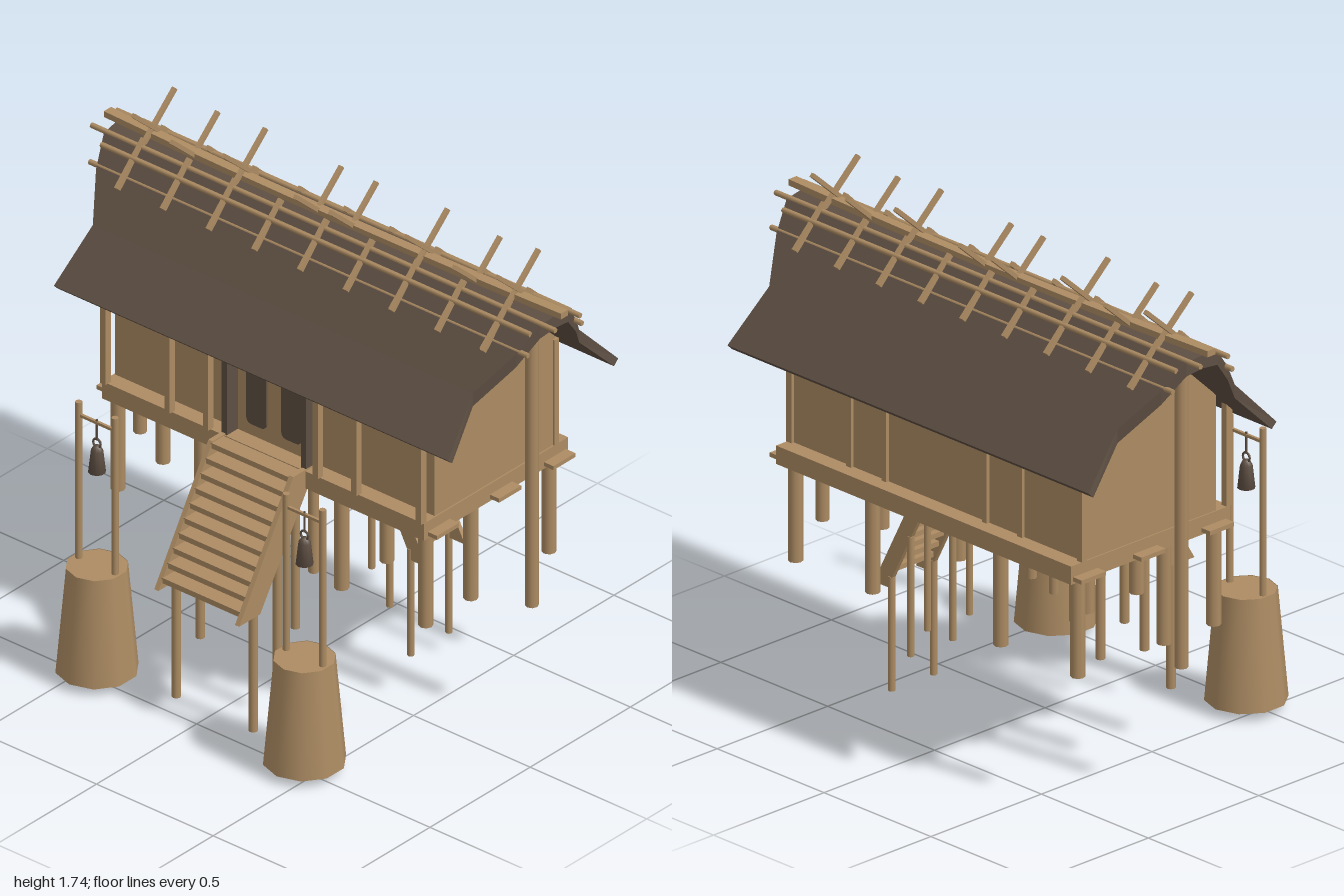
import * as THREE from 'three';

export function createModel() {
  const root = new THREE.Group();
  const wood = new THREE.MeshStandardMaterial({ color: 0xad8c63 });
  const dark = new THREE.MeshStandardMaterial({ color: 0x5e4f43 });
  const shell = new THREE.MeshStandardMaterial({ color: 0xad8c63, side: THREE.DoubleSide });
  const ridgeZ = -0.195;

  const add = (name, geo, mat = wood, x = 0, y = 0, z = 0, parent = root) => {
    const m = new THREE.Mesh(geo, mat);
    m.name = name;
    m.position.set(x, y, z);
    parent.add(m);
    return m;
  };
  // box given by its lower and upper corners
  const box = (name, a, b, mat = wood, parent = root) => add(name,
    new THREE.BoxGeometry(b[0] - a[0], b[1] - a[1], b[2] - a[2]), mat,
    (a[0] + b[0]) / 2, (a[1] + b[1]) / 2, (a[2] + b[2]) / 2, parent);
  // upright round post
  const post = (name, x, z, y0, y1, r, mat = wood, parent = root) =>
    add(name, new THREE.CylinderGeometry(r, r, y1 - y0, 8), mat, x, (y0 + y1) / 2, z, parent);
  // square stick leaning in the z-y plane
  const stick = (name, x, a, b, w) => {
    const dz = b[0] - a[0], dy = b[1] - a[1];
    const m = add(name, new THREE.BoxGeometry(w, w, Math.hypot(dz, dy)), wood,
      x, (a[1] + b[1]) / 2, (a[0] + b[0]) / 2);
    m.rotation.x = -Math.atan2(dy, dz);
    return m;
  };
  const polygon = pts => new THREE.Shape(pts.map(p => new THREE.Vector2(...p)));
  // outline drawn in (z, y), extruded along x from x0
  const slabX = (name, pts, x0, w, mat = wood) => {
    const g = new THREE.ExtrudeGeometry(polygon(pts.map(([z, y]) => [-z, y])), { depth: w, bevelEnabled: false });
    g.rotateY(Math.PI / 2);
    return add(name, g, mat, x0);
  };

  // floor platform and cross beams
  box('platform', [-0.69, 0.815, -0.55], [0.69, 0.88, 0.17]);
  for (const z of [0.095, -0.215, -0.485])
    box('floorBeam', [-0.73, 0.825, z - 0.055], [0.73, 0.84, z + 0.055]);

  // hall with gabled ends
  slabX('hall', [[0.11, 0.87], [0.11, 1.29], [-0.165, 1.55], [-0.225, 1.55], [-0.49, 1.29], [-0.49, 0.87]].reverse(), -0.685, 1.37);
  for (const s of [-1, 1]) {
    for (const x of [0.235, 0.4]) {
      box('porchPost', [s * x - 0.011, 0.88, 0.155], [s * x + 0.011, 1.25, 0.182]);
      box('backBatten', [s * x - 0.011, 0.88, -0.502], [s * x + 0.011, 1.28, -0.485]);
    }
    box('porchCornerPost', [s * 0.677 - 0.012, 0.88, 0.155], [s * 0.677 + 0.012, 1.25, 0.182]);
    box('backCornerPost', [s * 0.68 - 0.012, 0.88, -0.502], [s * 0.68 + 0.012, 1.28, -0.48]);
    post('ridgePost', s * 0.84, ridgeZ, 0.465, 1.57, 0.023);
    // doorway
    box('doorJamb', [s * 0.17 - 0.011, 0.88, 0.11], [s * 0.17 + 0.011, 1.27, 0.165], dark);
    const x = s * 0.075, w = 0.043, y = 0.925, r = 0.025;
    const panel = new THREE.Shape();
    panel.moveTo(x - w, 1.28);
    panel.lineTo(x - w, y + r);
    panel.quadraticCurveTo(x - w, y, x - w + r, y);
    panel.lineTo(x + w - r, y);
    panel.quadraticCurveTo(x + w, y, x + w, y + r);
    panel.lineTo(x + w, 1.28);
    add('doorPanel', new THREE.ExtrudeGeometry(panel, { depth: 0.006, bevelEnabled: false }), dark, 0, 0, 0.11);
  }

  // piles below the floor
  for (const s of [-1, 1]) {
    for (const x of [0.3, 0.66])
      for (const z of [0.125, -0.1, -0.49]) post('pile', s * x, z, 0.465, 0.82, 0.025);
    post('innerPile', s * 0.11, 0.045, 0.415, 0.75, 0.018);
  }

  // thatched roof: [distance from ridge, height, half length]
  const half = [[0.425, 1.208, 0.845], [0.265, 1.378, 0.815], [0.15, 1.505, 0.9], [0.07, 1.592, 0.935]];
  const profile = [...half.map(([d, y, l]) => [-d, y, l]), [0, 1.602, 0.94], ...half.slice().reverse()];
  let roof = new THREE.BoxGeometry(2, 1, 8, 1, 1, 8);
  const p = roof.attributes.position;
  for (let i = 0; i < p.count; i++) {
    const k = Math.round(p.getZ(i) + 4);
    const [d, y, l] = profile[k];
    const under = p.getY(i) < 0;
    const eave = k === 0 || k === 8;
    p.setXYZ(i, Math.sign(p.getX(i)) * l,
      under ? y - (eave ? 0.02 : 0.048) : y,
      ridgeZ + (under && eave ? d * 0.95 : d));
  }
  roof = roof.toNonIndexed();
  roof.computeVertexNormals();
  add('roof', roof, dark);

  // bowed ridge beam
  const ridge = new THREE.BoxGeometry(1.96, 0.022, 0.036, 12, 1, 1);
  const rp = ridge.attributes.position;
  for (let i = 0; i < rp.count; i++) rp.setY(i, rp.getY(i) + 0.015 * rp.getX(i) ** 2);
  ridge.computeVertexNormals();
  add('ridgeBeam', ridge, wood, 0, 1.607, ridgeZ);

  // poles lying on the thatch
  for (const s of [-1, 1])
    for (const [d, y, l] of [[0.062, 1.594, 0.995], [0.1, 1.567, 0.92], [0.135, 1.51, 0.94]]) {
      const g = new THREE.CylinderGeometry(0.0095, 0.0095, l * 2, 6);
      g.rotateZ(Math.PI / 2);
      add('roofPole', g, wood, 0, y, ridgeZ + s * d);
    }
  // short rafters holding the poles down
  for (let i = -4; i <= 4; i++)
    for (const s of [-1, 1])
      stick('rafterStick', i * 0.196, [ridgeZ + s * 0.045, 1.618], [ridgeZ + s * 0.18, 1.487], 0.017);
  // crossed sticks above the ridge
  const cross = (x, d, y, low) => {
    for (const s of [-1, 1])
      stick('crossedStick', x + s * 0.006, [ridgeZ + s * d, y], [ridgeZ - s * low, 1.485], 0.015);
  };
  for (const s of [-1, 1]) {
    for (const x of [0.39, 0.78]) cross(s * x, 0.11, 1.738, 0.172);
    for (const x of [0.075, 0.605]) cross(s * x, 0.122, 1.712, 0.13);
  }

  // front stairs
  const stringer = [[0.23, 0.885], [0.13, 0.885], [0.13, 0.855], [0.395, 0.44], [0.5, 0.44]];
  for (const s of [-1, 1]) {
    slabX('stairStringer', stringer, s * 0.173 - 0.009, 0.018);
    for (const [z, y0, y1] of [[0.41, 0, 0.48], [0.29, 0.17, 0.66], [0.2, 0.295, 0.8]])
      post('stairLeg', s * 0.165, z, y0, y1, 0.016);
  }
  for (let i = 0; i < 10; i++) {
    const y = 0.47 + i * 0.0445, z = 0.21 + (0.87 - y) * 0.61;
    box('stairTread', [-0.168, y - 0.01, z - 0.035], [0.168, y + 0.01, z + 0.025]);
  }

  // side stairs beneath the floor
  const side = [[0.205, 0.82], [0.14, 0.82], [0.335, 0.44], [0.4, 0.44]];
  for (const z of [-0.19, -0.38]) {
    add('sideStringer', new THREE.ExtrudeGeometry(polygon(side), { depth: 0.016, bevelEnabled: false }), wood, 0, 0, z - 0.008);
    for (const [x, y0, y1] of [[0.325, 0.075, 0.48], [0.235, 0.225, 0.65], [0.157, 0.34, 0.81]])
      post('sideStairLeg', x, z, y0, y1, 0.012);
  }
  for (let i = 0; i < 7; i++) {
    const y = 0.505 + i * 0.046, x = 0.19 + (0.79 - y) * 0.53;
    box('sideTread', [x - 0.025, y - 0.009, -0.376], [x + 0.03, y + 0.009, -0.194]);
  }

  // tubs with hanging bells
  for (const s of [-1, 1]) {
    const g = new THREE.Group();
    g.name = 'bellStand';
    g.position.set(s * 0.445, 0, 0.48);
    root.add(g);
    add('tub', new THREE.CylinderGeometry(0.104, 0.139, 0.39, 10, 1, true), shell, 0, 0.225, 0, g);
    const lid = add('tubLid', new THREE.CircleGeometry(0.104, 10), shell, 0, 0.418, 0, g);
    lid.rotation.set(-Math.PI / 2, 0, Math.PI / 2);
    for (const t of [-1, 1]) post('bellPost', t * 0.078, 0, 0.41, 1.01, 0.012, wood, g);
    box('bellBar', [-0.078, 0.956, -0.005], [0.078, 0.966, 0.005], wood, g);
    add('bell', new THREE.LatheGeometry([[0, 0.775], [0.03, 0.775], [0.021, 0.855], [0.012, 0.872], [0, 0.875]]
      .map(q => new THREE.Vector2(...q)), 10), dark, 0, 0, 0, g);
    add('bellLoop', new THREE.TorusGeometry(0.016, 0.004, 6, 12), dark, 0, 0.883, 0, g);
    post('bellCord', 0, 0, 0.895, 0.972, 0.004, dark, g);
  }
  return root;
}
